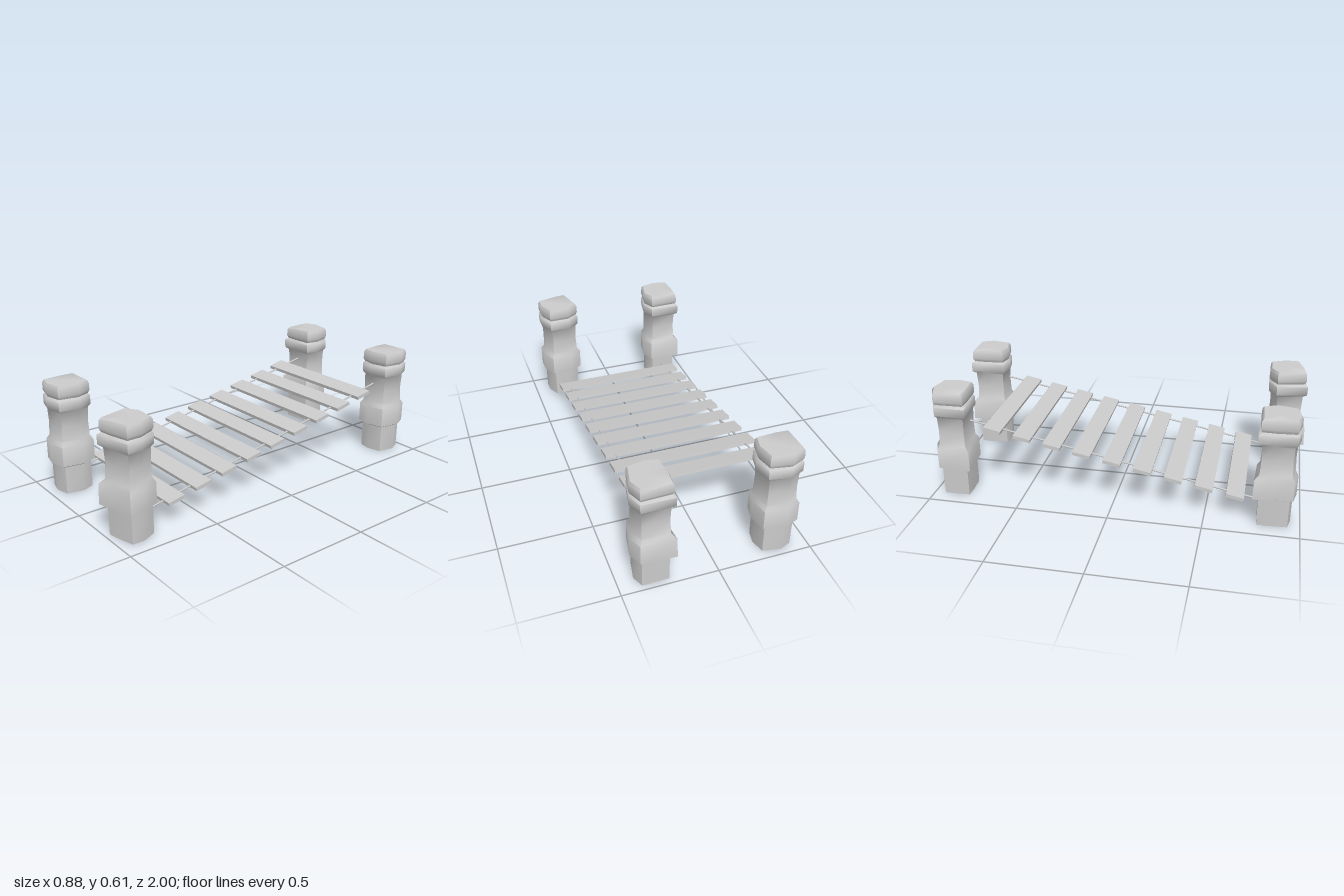
import * as THREE from 'three';
import { toCreasedNormals } from 'three/addons/utils/BufferGeometryUtils.js';

const material = new THREE.MeshStandardMaterial({ color: 0xcccccc });

// Uneven rounded-square cross-section of a post, as x, z pairs; the first corner juts out
const outline = [
  [-0.108, 0.105], [-0.104, -0.07], [-0.03, -0.102], [0.085, -0.08],
  [0.107, 0.015], [0.09, 0.092], [-0.025, 0.1],
];

// Post profile: height, scale, and how much the first corner is pulled in
const shaft = [
  [0, 0.83, 0.93], [0.155, 0.84, 0.93], [0.165, 1.01, 1.04], [0.275, 1.01, 1.02],
  [0.3, 0.86, 0.94], [0.38, 0.83, 0.93], [0.46, 0.86, 0.94], [0.475, 0.98, 1],
  [0.525, 0.99, 1], [0.53, 0.95, 0.96], [0.537, 0.9, 0.94],
];
const cap = [
  [0.537, 0.9, 0.92], [0.547, 0.95, 0.93], [0.556, 0.98, 0.93],
  [0.595, 0.97, 0.92], [0.61, 0.89, 0.9],
];

// Joins rings of the outline into a closed solid
function loft(profile) {
  const n = outline.length;
  const positions = [];
  const indices = [];
  for (const [y, scale, corner] of profile) {
    outline.forEach(([x, z], i) => {
      const s = i === 0 ? scale * corner : scale;
      positions.push(x * s, y, z * s);
    });
  }
  for (let r = 0; r < profile.length - 1; r++) {
    for (let i = 0; i < n; i++) {
      const j = (i + 1) % n;
      const a = r * n + i, b = r * n + j;
      indices.push(b, a, a + n, b, a + n, b + n);
    }
  }
  const bottom = positions.length / 3;
  const last = (profile.length - 1) * n;
  positions.push(0, profile[0][0], 0, 0, profile[profile.length - 1][0], 0);
  for (let i = 0; i < n; i++) {
    const j = (i + 1) % n;
    indices.push(bottom, i, j, bottom + 1, last + j, last + i);
  }
  const geometry = new THREE.BufferGeometry();
  geometry.setAttribute('position', new THREE.Float32BufferAttribute(positions, 3));
  geometry.setIndex(indices);
  return toCreasedNormals(geometry, 1.0);
}

function addMesh(parent, geometry, name) {
  const mesh = new THREE.Mesh(geometry, material);
  mesh.name = name;
  parent.add(mesh);
  return mesh;
}

export function createModel() {
  const model = new THREE.Group();
  model.name = 'plankBridge';

  // Four stone posts, each turned differently
  const shaftGeometry = loft(shaft);
  const capGeometry = loft(cap);
  const posts = [
    ['backRightPost', -0.328, -0.882, 0],
    ['backLeftPost', 0.328, -0.885, -Math.PI / 2],
    ['frontRightPost', -0.328, 0.86, -Math.PI / 2],
    ['frontLeftPost', 0.326, 0.875, 0.2],
  ];
  for (const [name, x, z, turn] of posts) {
    const post = new THREE.Group();
    post.name = name;
    post.position.set(x, 0, z);
    post.rotation.y = turn;
    addMesh(post, shaftGeometry, 'postShaft');
    addMesh(post, capGeometry, 'postCap');
    model.add(post);
  }

  // Sloping deck, rising towards the back
  const deck = new THREE.Group();
  deck.name = 'deck';
  deck.position.y = 0.261;
  const slope = Math.atan(0.198);
  deck.rotation.x = slope;
  model.add(deck);

  // Planks
  const plankGeometry = new THREE.BoxGeometry(0.764, 0.019, 0.096);
  for (let i = 0; i < 9; i++) {
    const plank = addMesh(deck, plankGeometry, 'plank');
    plank.position.z = (i - 4) * 0.1638 / Math.cos(slope);
  }

  // Ropes carrying the planks
  const ropeGeometry = new THREE.CylinderGeometry(0.005, 0.005, 1.62, 8);
  for (const side of [-1, 1]) {
    const rope = addMesh(deck, ropeGeometry, side < 0 ? 'rightRope' : 'leftRope');
    rope.rotation.x = Math.PI / 2;
    rope.position.x = side * 0.326;
  }
  return model;
}
